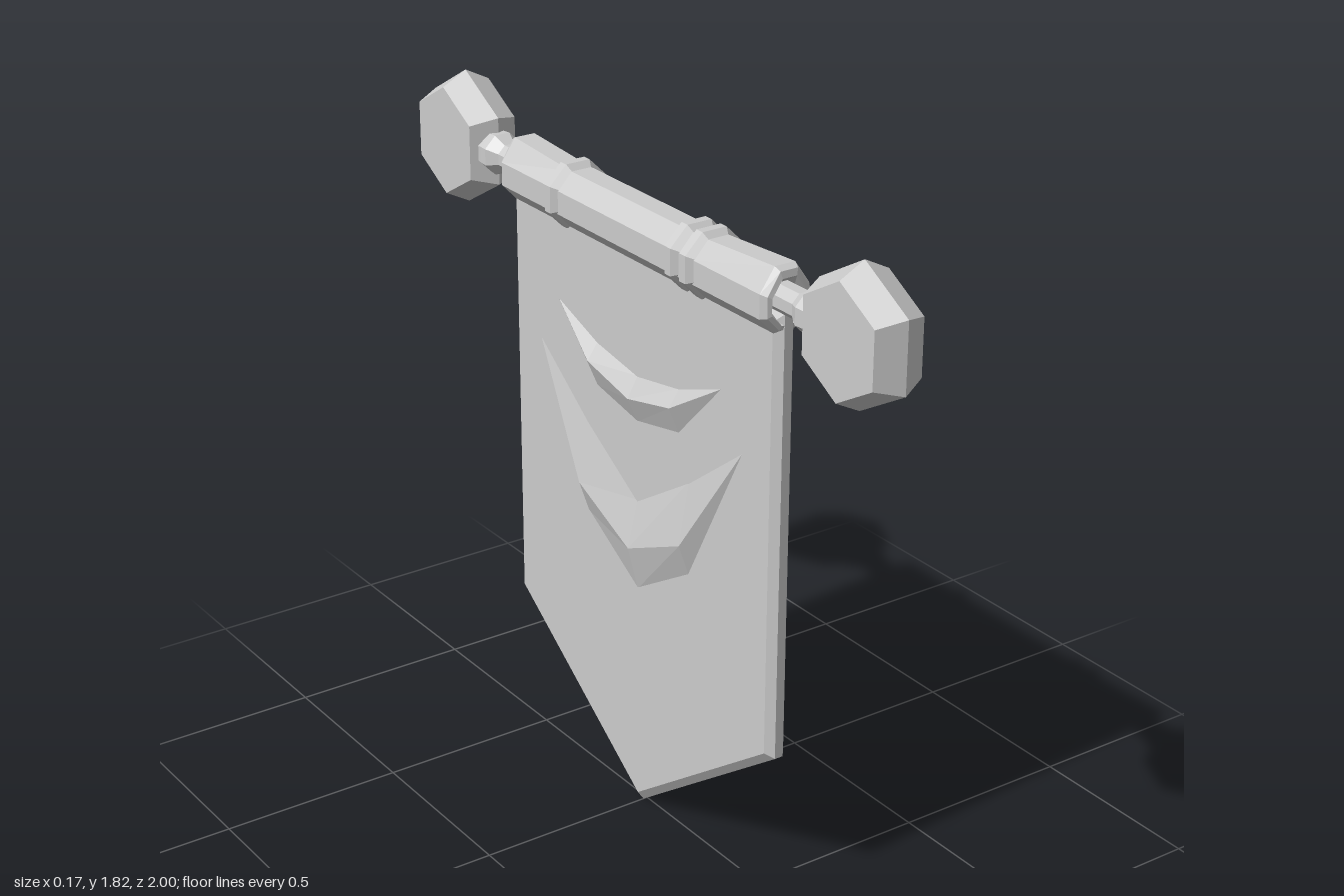
import * as THREE from 'three';

const POLE_Y = 1.635;
const mat = new THREE.MeshStandardMaterial({ color: 0xcccccc, flatShading: true });

function add(parent, name, geometry) {
  const mesh = new THREE.Mesh(geometry, mat);
  mesh.name = name;
  parent.add(mesh);
  return mesh;
}

// Skin over cross-sections (arrays of [x, y, z]) stacked along z
function loft(sections, closed) {
  const n = sections[0].length, index = [];
  for (let i = 0; i < sections.length - 1; i++) {
    for (let j = 0; j < (closed ? n : n - 1); j++) {
      const a = i * n + j, b = i * n + (j + 1) % n;
      index.push(a, b, a + n, b, b + n, a + n);
    }
  }
  const geo = new THREE.BufferGeometry();
  geo.setAttribute('position', new THREE.Float32BufferAttribute(sections.flat(2), 3));
  geo.setIndex(index);
  const flat = geo.toNonIndexed();
  flat.computeVertexNormals();
  return flat;
}

// Eight-sided turned piece along z, profile points are [radius, z]
function turned(profile) {
  const pts = profile.map(([r, z]) => new THREE.Vector2(r, z));
  return new THREE.LatheGeometry(pts, 8, Math.PI / 8, Math.PI * 2).rotateX(Math.PI / 2);
}

// Octagonal sleeve section whose top is lifted towards the ends
function sleeveSection(z, apothem, lift) {
  const pts = [], r = apothem / Math.cos(Math.PI / 8);
  for (let k = 0; k < 8; k++) {
    const a = (k + 0.5) * Math.PI / 4;
    const y = Math.sin(a) * r;
    pts.push([Math.cos(a) * r * 0.95, 1.625 + y + (y > apothem * 0.9 ? lift : 0), z]);
  }
  return pts;
}

// Raised drape fold; half profile rows are [z, bottom y, crease y, top y]
function fold(rows, side) {
  const all = [...rows.slice(1).reverse().map(([z, ...y]) => [-z, ...y]), ...rows];
  return loft(all.map(([z, lo, mid, hi], i) => {
    const tip = i === 0 || i === all.length - 1;
    const pts = [[side * 0.029, lo, z], [side * (tip ? 0.029 : 0.06), mid, z], [side * 0.029, hi, z]];
    return side > 0 ? pts : pts.reverse();
  }), false);
}

export function createModel() {
  const group = new THREE.Group();
  group.name = 'hangingBanner';

  // Pointed cloth with a chamfered rim
  const outline = new THREE.Shape([[-0.575, 1.6], [-0.575, 0.41], [0, 0], [0.575, 0.41], [0.575, 1.6]]
    .map(([x, y]) => new THREE.Vector2(x, y)));
  const cloth = new THREE.ExtrudeGeometry(outline, {
    depth: 0.024, bevelThickness: 0.018, bevelSize: 0.022, bevelOffset: -0.022, bevelSegments: 1,
  });
  add(group, 'cloth', cloth.translate(0, 0, -0.012).rotateY(-Math.PI / 2));

  // Drape folds on both faces
  const upper = [[0, 1.12, 1.19, 1.245], [0.18, 1.155, 1.23, 1.275], [0.36, 1.34, 1.34, 1.34]];
  const lower = [[0, 0.645, 0.77, 0.9], [0.225, 0.78, 0.87, 1.04], [0.45, 1.21, 1.21, 1.21]];
  for (const side of [1, -1]) {
    add(group, 'upperFold', fold(upper, side));
    add(group, 'lowerFold', fold(lower, side));
  }

  // Cloth sleeve around the pole, with chamfered open ends
  const ends = [[0.54, 0.04, 0], [0.575, 0.052, 0.012], [0.572, 0.064, 0.018], [0.555, 0.075, 0.016], [0.29, 0.075, 0]];
  const sections = [
    ...ends.map(([z, r, l]) => sleeveSection(-z, r, l)),
    ...ends.slice().reverse().map(([z, r, l]) => sleeveSection(z, r, l)),
  ];
  add(group, 'sleeve', loft(sections, true));

  // Binding rings
  for (const z of [0.268, 0.207, -0.318]) {
    const ring = add(group, 'bindingRing',
      turned([[0.074, -0.03], [0.092, -0.012], [0.092, 0.012], [0.074, 0.03]]));
    ring.position.set(0, 1.63, z);
  }

  // Pole with collars
  const half = [[0, 0.74], [0.05, 0.73], [0.056, 0.69], [0.058, 0.665], [0.038, 0.63], [0.038, 0.5]];
  const pole = add(group, 'pole', turned([
    ...half.map(([r, z]) => [r, -z]), ...half.slice().reverse(),
  ]));
  pole.position.y = POLE_Y;

  // Hexagonal finials: ridged rim, flat faces to both sides
  for (const end of [1, -1]) {
    const profile = [[0, -0.07], [0.147, -0.07], [0.183, 0], [0.147, 0.07], [0, 0.07]]
      .map(([r, y]) => new THREE.Vector2(r, y));
    const geo = new THREE.LatheGeometry(profile, 6, Math.PI / 2).rotateZ(Math.PI / 2);
    const finial = add(group, 'finial', geo);
    finial.position.set(0, POLE_Y, end * 0.842);
  }
  return group;
}
